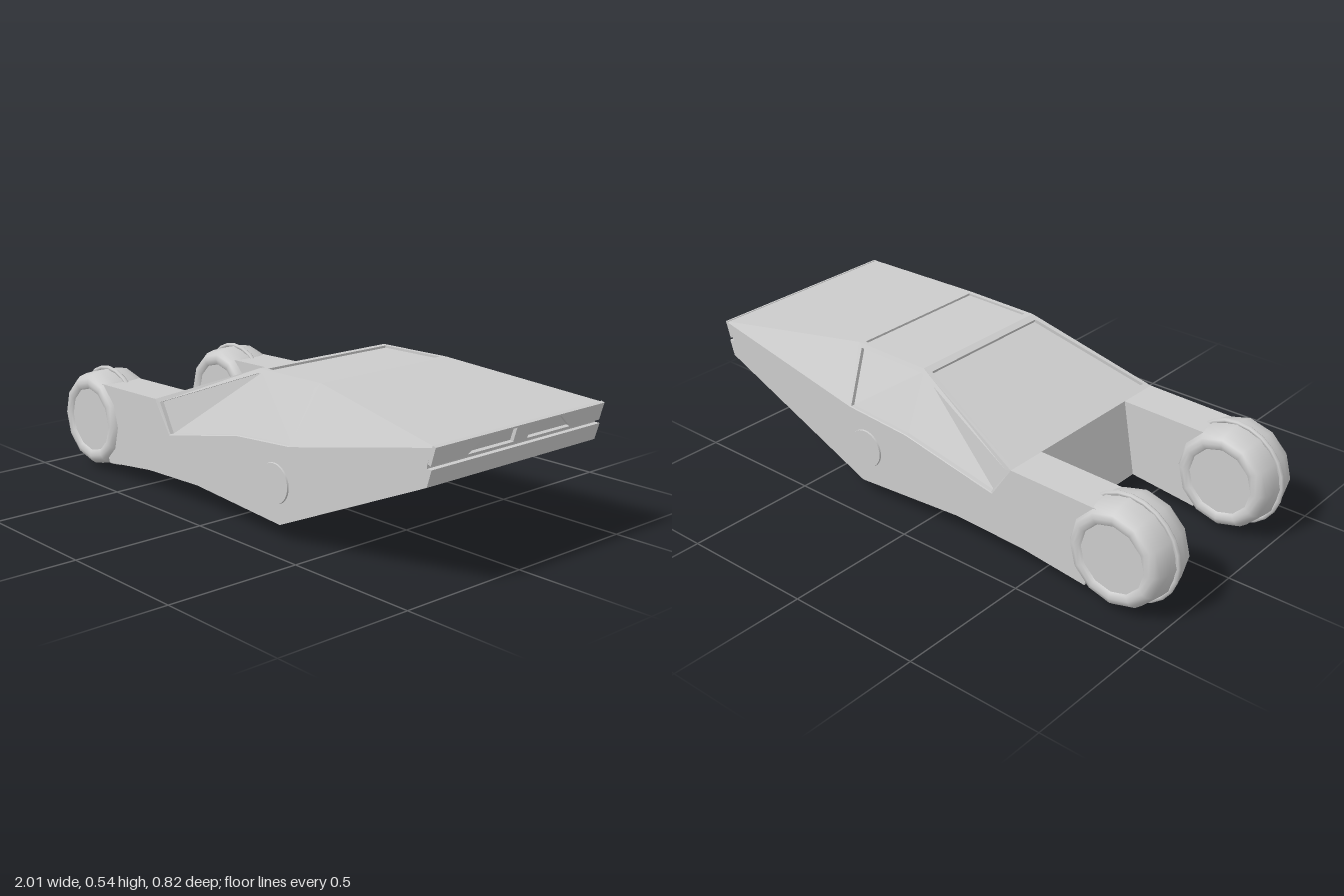
import * as THREE from 'three';

const mat = new THREE.MeshStandardMaterial({ color: 0xcccccc });
const W = 0.395; // half width of the body

function add(parent, name, geo) {
  const mesh = new THREE.Mesh(geo, mat);
  mesh.name = name;
  parent.add(mesh);
  return mesh;
}

const shapeOf = (pts) => new THREE.Shape(pts.map(([x, y]) => new THREE.Vector2(x, y)));

// Side profile extruded between two z values
function slab(pts, z0, z1) {
  const geo = new THREE.ExtrudeGeometry(shapeOf(pts), { depth: z1 - z0, bevelEnabled: false });
  return geo.translate(0, 0, z0);
}

// Flat-faced surface from triangles; mirrored across z when asked
function surface(tris, mirror = false) {
  const data = tris.flatMap(([a, b, c]) => (mirror ? [a, c, b] : [a, b, c]))
    .flatMap(([x, y, z]) => [x, y, mirror ? -z : z]);
  const geo = new THREE.BufferGeometry();
  geo.setAttribute('position', new THREE.Float32BufferAttribute(data, 3));
  geo.computeVertexNormals();
  return geo;
}

const fan = (p) => p.slice(2).map((q, i) => [p[0], p[i + 1], q]);

// Frame around a recessed pane: outer loop, inner loop and recess offset
function recessed(outer, inner, d) {
  const low = inner.map((p) => p.map((v, i) => v + d[i]));
  const band = (a, b) => a.flatMap((p, i) => {
    const j = (i + 1) % a.length;
    return fan([p, a[j], b[j], b[i]]);
  });
  return { frame: [...band(outer, inner), ...band(inner, low)], pane: fan(low) };
}

// Symmetric four-cornered loop lying across the body, seen from above
const across = (x0, y0, z0, x1, y1, z1) => [[x0, y0, z0], [x1, y1, z1], [x1, y1, -z1], [x0, y0, -z0]];

function wheel() {
  const g = new THREE.Group();
  g.name = 'wheel';
  const half = [[0.12, 0.09], [0.128, 0.099], [0.145, 0.102], [0.162, 0.097], [0.175, 0.08], [0.184, 0.045]];
  const pts = [...half.map(([r, h]) => [r, -h]), [0.187, 0], ...half.slice().reverse()];
  const tyre = new THREE.LatheGeometry(pts.map(([r, h]) => new THREE.Vector2(r, h)), 12);
  add(g, 'tyre', tyre.rotateX(Math.PI / 2));
  add(g, 'hub', new THREE.CylinderGeometry(0.125, 0.125, 0.184, 24).rotateX(Math.PI / 2));
  add(g, 'treadRib', new THREE.TorusGeometry(0.188, 0.009, 6, 24));
  return g;
}

export function createModel() {
  const car = new THREE.Group();
  car.name = 'wedgeCar';

  // Lower hull, notched under the side windows and grooved at the tail
  add(car, 'hull', slab([
    [-0.39, 0.36], [-0.44, 0.08], [-0.15, 0.09], [0.3, 0.06], [0.966, 0.35], [0.984, 0.408],
    [0.965, 0.408], [0.965, 0.416], [0.986, 0.477], [0.35, 0.34], [0.08, 0.32], [-0.31, 0.24],
  ], -W, W));

  // Cabin corner points on the left side
  const A = [-0.39, 0.36, W], L1 = [-0.31, 0.24, W], L2 = [0.08, 0.32, W], L3 = [0.35, 0.34, W];
  const R1 = [0.08, 0.54, 0.295], R2 = [0.39, 0.545, 0.295], T = [1, 0.48, W];

  const windscreen = recessed(
    across(...A, ...R1),
    across(-0.37, 0.368, 0.375, 0.055, 0.53, 0.28),
    [0.004, -0.011, 0],
  );
  add(car, 'windscreenFrame', surface(windscreen.frame));
  add(car, 'windscreen', surface(windscreen.pane));

  const roof = recessed(
    across(...R1, ...R2),
    across(0.105, 0.5404, 0.278, 0.375, 0.5448, 0.278),
    [0, -0.008, 0],
  );
  add(car, 'roofFrame', surface(roof.frame));
  add(car, 'roofPanel', surface(roof.pane));
  add(car, 'rearDeck', surface(fan(across(...R2, ...T))));

  const side = recessed(
    [R1, A, L1, L2, L3, R2],
    [[0.085, 0.525, 0.302], [-0.365, 0.352, 0.392], [-0.305, 0.245, 0.393],
      [0.08, 0.323, 0.393], [0.345, 0.343, 0.393], [0.372, 0.53, 0.302]],
    [0, 0, -0.015],
  );

  for (const s of [1, -1]) {
    const flip = s < 0;
    const tag = flip ? 'right' : 'left';
    add(car, tag + 'WindowFrame', surface(side.frame, flip));
    add(car, tag + 'Window', surface(side.pane, flip));
    add(car, tag + 'RearQuarter', surface([[L3, T, R2]], flip));

    // Arm reaching forward to the wheel
    const arm = [[-0.39, 0.36], [-0.74, 0.352], [-0.74, 0.2], [-0.7, 0.05], [-0.44, 0.08]];
    add(car, tag + 'WheelArm', slab(arm, flip ? -W : 0.235, flip ? -0.235 : W));
    const w = wheel();
    w.name = tag + 'Wheel';
    w.position.set(-0.808, 0.2, s * 0.31);
    car.add(w);

    // Round cover on the hull side
    const cover = add(car, tag + 'WheelCover', new THREE.CylinderGeometry(0.07, 0.072, 0.01, 32));
    cover.rotation.x = s * Math.PI / 2;
    cover.position.set(0.275, 0.2, s * 0.396);
  }

  // Tilted tail panel with lamp openings
  const tail = shapeOf([[-W, -0.064], [W, -0.064], [W, 0], [-W, 0]]);
  for (const s of [1, -1]) {
    const hole = [[0.033, -0.007], [0.178, -0.007], [0.24, -0.057], [0.033, -0.057]];
    tail.holes.push(new THREE.Path(hole.map(([x, y]) => new THREE.Vector2(s * x, y))));
  }
  const tailGeo = new THREE.ExtrudeGeometry(tail, { depth: 0.013, bevelEnabled: false });
  tailGeo.translate(0, 0, -0.013).rotateX(0.29).rotateY(Math.PI / 2).translate(0.999, 0.48, 0);
  add(car, 'tailPanel', tailGeo);

  return car;
}
